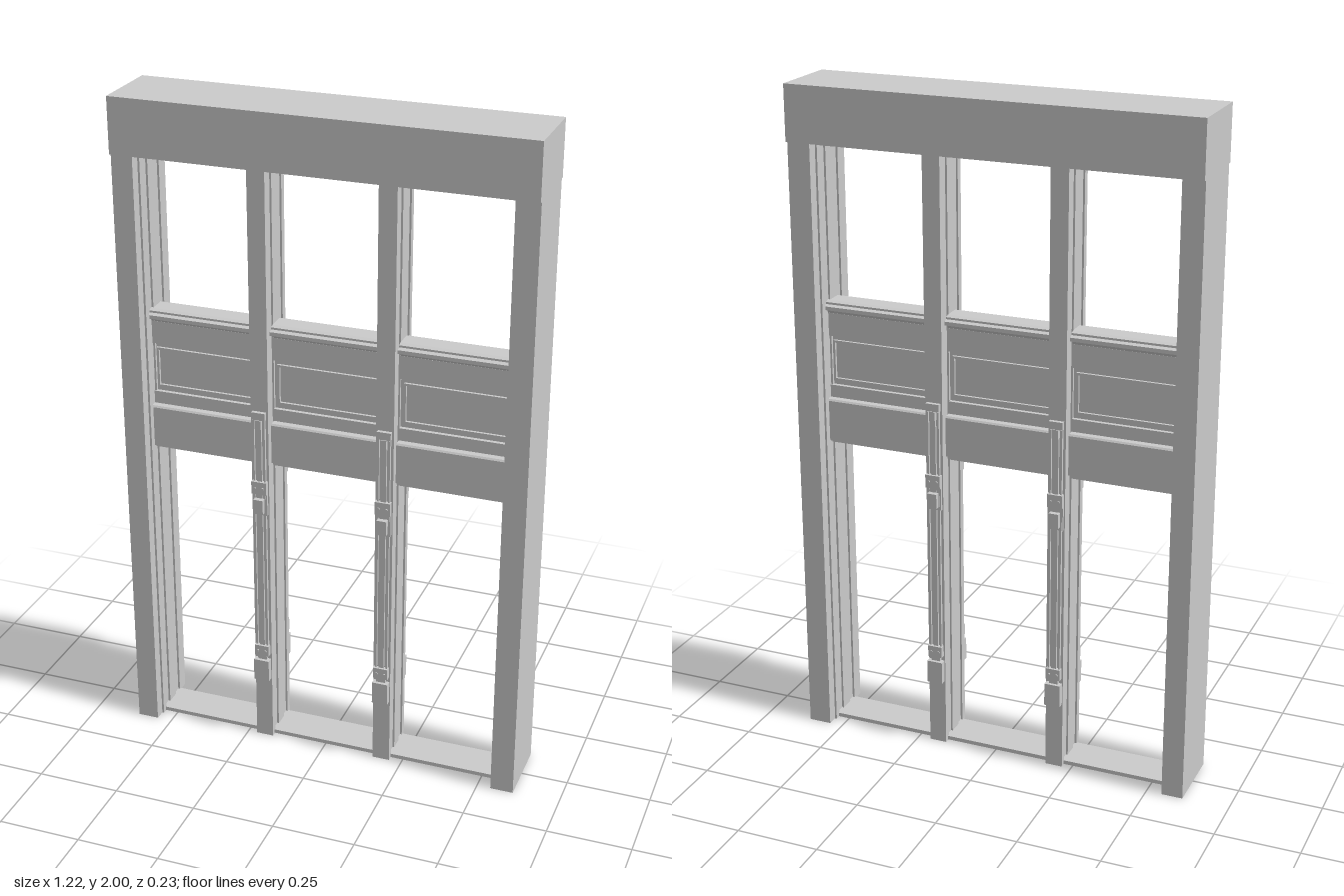
import * as THREE from 'three';

const material = new THREE.MeshStandardMaterial({ color: 0xcccccc, flatShading: true });

// Box given by its limits on each axis
function box(parent, name, x0, x1, y0, y1, z0, z1) {
  const mesh = new THREE.Mesh(new THREE.BoxGeometry(x1 - x0, y1 - y0, z1 - z0), material);
  mesh.position.set((x0 + x1) / 2, (y0 + y1) / 2, (z0 + z1) / 2);
  mesh.name = name;
  parent.add(mesh);
  return mesh;
}

// Disc facing along z
function disc(parent, name, x, y, z, r, depth) {
  const mesh = new THREE.Mesh(new THREE.CylinderGeometry(r, r, depth, 12), material);
  mesh.rotation.x = Math.PI / 2;
  mesh.position.set(x, y, z);
  mesh.name = name;
  parent.add(mesh);
}

function group(parent, name) {
  const g = new THREE.Group();
  g.name = name;
  parent.add(g);
  return g;
}

// Profile of (z, y) points, mirrored in z and extruded along x
function railAlongX(parent, name, x0, x1, half) {
  const pts = [...half, ...half.slice().reverse().map(([z, y]) => [-z, y])];
  const shape = new THREE.Shape(pts.map(([z, y]) => new THREE.Vector2(-z, y)));
  const geo = new THREE.ExtrudeGeometry(shape, { depth: x1 - x0, bevelEnabled: false });
  geo.rotateY(Math.PI / 2);
  const mesh = new THREE.Mesh(geo, material);
  mesh.position.x = x0;
  mesh.name = name;
  parent.add(mesh);
}

// Long pull handle with end brackets on one face of a mullion
function latch(parent, name) {
  const g = group(parent, name);
  const z = 0.07;
  box(g, 'backPlate', -0.019, 0.019, 0.33, 1.08, z - 0.004, z + 0.004);
  for (const s of [-1, 1]) {
    box(g, 'trackLip', s * 0.0165 - 0.0025, s * 0.0165 + 0.0025, 0.33, 1.08, z, z + 0.011);
  }
  box(g, 'rod', -0.008, 0.008, 0.3, 1.09, z, z + 0.011);
  box(g, 'topCatch', -0.021, 0.021, 1.082, 1.105, z - 0.004, z + 0.014);
  box(g, 'topCatchTab', -0.009, 0.009, 1.055, 1.082, z, z + 0.017);
  box(g, 'upperBracket', -0.023, 0.023, 0.845, 0.885, z - 0.004, z + 0.018);
  box(g, 'gripBase', -0.023, 0.023, 0.775, 0.845, z - 0.004, z + 0.01);
  box(g, 'grip', -0.015, 0.015, 0.785, 0.83, z, z + 0.026);
  box(g, 'lowerBracket', -0.022, 0.022, 0.295, 0.33, z - 0.004, z + 0.018);
  box(g, 'footBlock', -0.024, 0.024, 0.21, 0.28, z - 0.004, z + 0.022);
  box(g, 'footNeck', -0.014, 0.014, 0.28, 0.295, z - 0.004, z + 0.012);
  for (const s of [-1, 1]) {
    disc(g, 'screw', s * 0.012, 0.865, z + 0.019, 0.004, 0.004);
    disc(g, 'screw', s * 0.012, 0.312, z + 0.019, 0.004, 0.004);
  }
  return g;
}

// Stop strips that form the sliding grooves
const stops = [[-0.072, -0.052], [-0.022, 0.022], [0.052, 0.072]];

// Raised-and-fielded sash filling one bay
function sash(parent, x0, x1) {
  const g = group(parent, 'sash');
  railAlongX(g, 'topRail', x0, x1, [
    [0.022, 1.315], [0.036, 1.335], [0.05, 1.335], [0.05, 1.346],
    [0.038, 1.35], [0.038, 1.356], [0.026, 1.36],
  ]);
  railAlongX(g, 'bottomRail', x0, x1, [
    [0.028, 0.918], [0.028, 0.926], [0.04, 0.926], [0.04, 0.936],
    [0.05, 0.936], [0.05, 1.055], [0.046, 1.06],
  ]);
  box(g, 'core', x0, x1, 1.05, 1.34, -0.014, 0.014);
  box(g, 'upperBand', x0, x1, 1.25, 1.32, -0.026, 0.026);
  box(g, 'lowerBand', x0, x1, 1.055, 1.098, -0.026, 0.026);
  // Picture-frame moulding on both faces
  const a = x0 + 0.01, b = x1 - 0.01, t = 0.007;
  for (const [l, r, d, u] of [
    [a, b, 1.236 - t, 1.236], [a, b, 1.112, 1.112 + t],
    [a, a + t, 1.112 + t, 1.236 - t], [b - t, b, 1.112 + t, 1.236 - t],
  ]) box(g, 'moulding', l, r, d, u, -0.022, 0.022);
}

export function createModel() {
  const model = new THREE.Group();
  model.name = 'tripleWindowFrame';

  // Outer frame
  box(model, 'header', -0.61, 0.61, 1.836, 2, -0.115, 0.115);
  box(model, 'leftPost', 0.541, 0.61, 0, 1.836, -0.105, 0.105);
  box(model, 'rightPost', -0.61, -0.546, 0, 1.836, -0.105, 0.105);
  box(model, 'sill', -0.546, 0.541, 0.002, 0.014, -0.058, 0.058);

  // Mullions with stepped sides and a latch on each face
  const centres = [-0.195, 0.185];
  for (const x of centres) {
    const m = group(model, 'mullion');
    m.position.x = x;
    box(m, 'mullionCore', -0.021, 0.021, 0, 1.836, -0.068, 0.068);
    for (const [z0, z1] of stops) box(m, 'stop', -0.0265, 0.0265, 0, 1.836, z0, z1);
    latch(m, 'frontLatch');
    latch(m, 'backLatch').rotation.y = Math.PI;
  }

  // Bays: jamb stops, head stops and a sash in each
  const edges = [[-0.546, -0.2215], [-0.1685, 0.1585], [0.2115, 0.541]];
  edges.forEach(([x0, x1], i) => {
    const bay = group(model, 'bay');
    for (const [z0, z1] of stops) {
      box(bay, 'headStop', x0, x1, 1.825, 1.838, z0, z1);
      if (i === 0) box(bay, 'jambStop', x0 - 0.002, x0 + 0.006, 0, 1.836, z0, z1);
      if (i === 2) box(bay, 'jambStop', x1 - 0.006, x1 + 0.002, 0, 1.836, z0, z1);
    }
    sash(bay, x0, x1);
  });
  return model;
}
